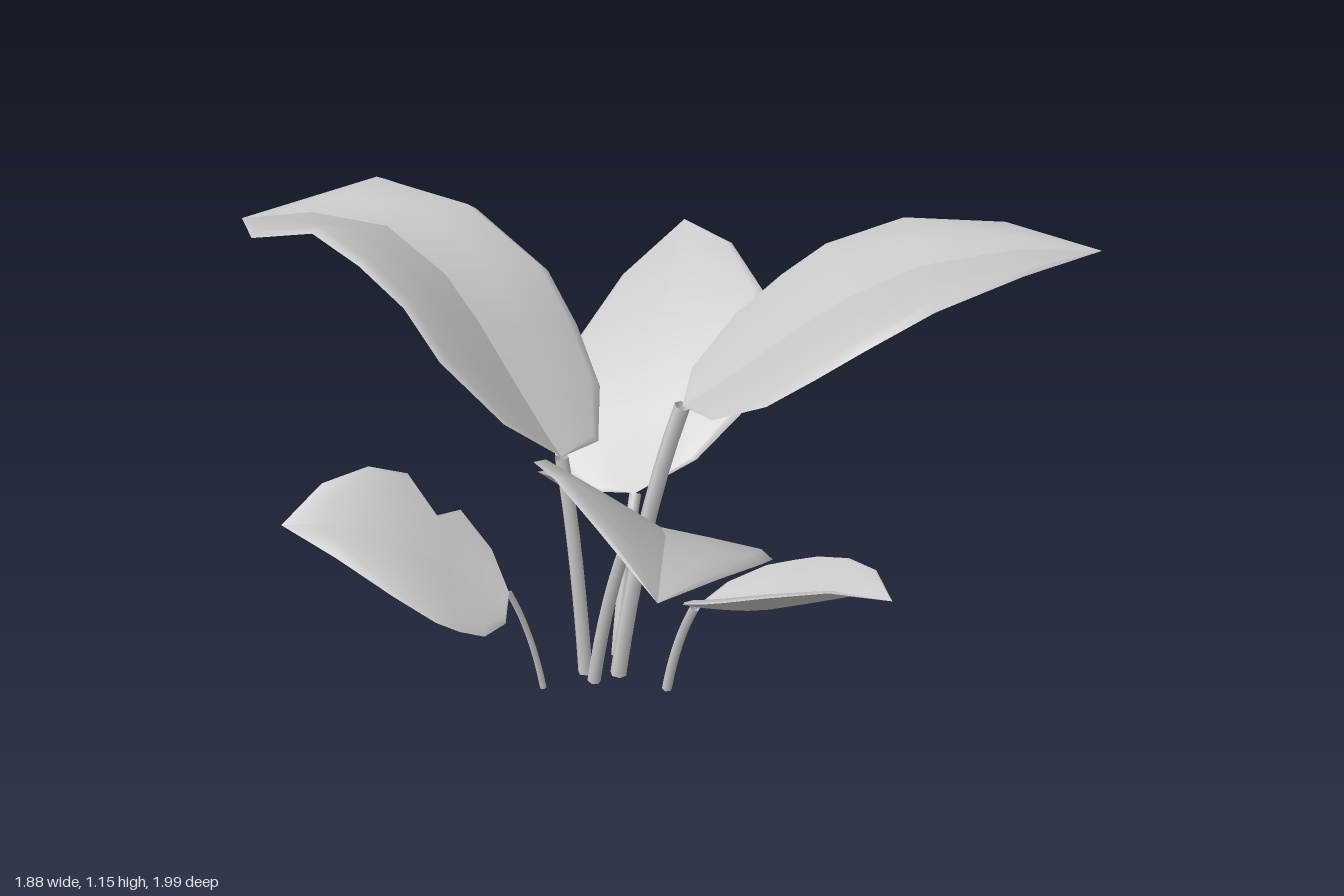
import * as THREE from 'three';

const V = (p) => new THREE.Vector3(...p);
const material = new THREE.MeshStandardMaterial({ color: 0xcccccc, side: THREE.DoubleSide });

// Half-width of every blade: [fraction along the midrib, fraction of full width]
const outline = [[0, 0], [0.05, 0.5], [0.17, 0.85], [0.29, 0.96], [0.4, 1], [0.58, 0.87], [0.8, 0.5], [1, 0]];
const notchRow = 3;
const shoulderRow = 6;
const arch = 0.1;

// Cross-section from midrib to edge: [fraction across, lift relative to width]
const section = [[0, 0], [0.45, 0.04], [0.9, 0.07], [1, 0]];

// Half a blade: swept along the midrib, reaching out by the side vector;
// turn raises the edge towards the tip, shoulder widens the blade before the tip
function halfBlade(rib, side, { notch, turn, shoulder, isLeft }) {
  const positions = [];
  const index = [];
  const cols = section.length;
  outline.forEach(([t, w], i) => {
    const width = w * (i === notchRow ? notch : i === shoulderRow ? shoulder : 1);
    const reach = side.clone();
    reach.y += turn * t * t;
    reach.multiplyScalar(width);
    const root = rib.getPoint(t);
    root.y += arch * t * t * w;
    for (const [across, lift] of section) {
      const p = root.clone().addScaledVector(reach, across);
      positions.push(p.x, p.y + lift * reach.length(), p.z);
    }
    if (i === 0) return;
    for (let j = 0; j < cols - 1; j++) {
      const a = (i - 1) * cols + j, b = a + 1, c = a + cols, d = c + 1;
      if (isLeft) index.push(a, c, b, b, c, d);
      else index.push(a, b, c, b, d, c);
    }
  });
  const geometry = new THREE.BufferGeometry();
  geometry.setAttribute('position', new THREE.Float32BufferAttribute(positions, 3));
  geometry.setIndex(index);
  geometry.computeVertexNormals();
  return geometry;
}

// Stem from foot to blade base, midrib through base, mid and tip, side vectors to the widest points
function makeLeaf(name, {
  foot, base, mid, tip, left, right, radius, notchLeft = 1, notchRight = 1, turn = 0, shoulder = 1,
}) {
  const leaf = new THREE.Group();
  leaf.name = name;
  const add = (partName, geometry) => {
    const mesh = new THREE.Mesh(geometry, material);
    mesh.name = partName;
    leaf.add(mesh);
  };

  // Stem rises steeply, then leans out to the blade
  const bend = V(foot).lerp(V(base), 0.35);
  bend.y = THREE.MathUtils.lerp(foot[1], base[1], 0.58);
  const path = new THREE.QuadraticBezierCurve3(V(foot), bend, V(base));
  add('stem', new THREE.TubeGeometry(path, 8, radius, 6));

  // Two blade halves meeting in a crease along the midrib
  const rib = new THREE.CatmullRomCurve3([base, mid, tip].map(V));
  add('leftBladeHalf', halfBlade(rib, V(left), { notch: notchLeft, turn: -turn, shoulder, isLeft: true }));
  add('rightBladeHalf', halfBlade(rib, V(right), { notch: notchRight, turn, shoulder, isLeft: false }));
  return leaf;
}

export function createModel() {
  const plant = new THREE.Group();
  plant.name = 'leafyPlant';

  plant.add(makeLeaf('tallLeaf', {
    foot: [-0.16, 0.02, -0.11], base: [-0.02, 0.75, -0.065], mid: [0.45, 1.03, -0.03], tip: [0.94, 1.1, 0.035],
    left: [0.02, -0.05, -0.31], right: [-0.03, 0.06, 0.33], radius: 0.019,
  }));
  plant.add(makeLeaf('frontLeaf', {
    foot: [-0.22, 0.02, -0.095], base: [-0.155, 0.51, 0.04], mid: [-0.19, 0.77, 0.52], tip: [-0.31, 0.9, 0.99],
    left: [0.25, -0.09, 0.05], right: [-0.29, 0.19, -0.04], radius: 0.016, notchRight: 0.7,
  }));
  plant.add(makeLeaf('backRightLeaf', {
    foot: [-0.225, 0, -0.165], base: [-0.275, 0.57, -0.19], mid: [-0.53, 0.9, -0.62], tip: [-0.855, 0.825, -0.955],
    left: [-0.23, 0.17, 0.13], right: [0.26, -0.12, -0.09], radius: 0.017, notchLeft: 0.9, turn: 0.25, shoulder: 1.4,
  }));
  plant.add(makeLeaf('backLeaf', {
    foot: [-0.145, 0.02, -0.19], base: [-0.075, 0.37, -0.315], mid: [0.04, 0.53, -0.62], tip: [0.19, 0.655, -1],
    left: [-0.22, -0.07, -0.06], right: [0.27, 0.09, 0.03], radius: 0.014,
  }));
  plant.add(makeLeaf('smallRightLeaf', {
    foot: [-0.34, 0.02, -0.09], base: [-0.425, 0.3, -0.065], mid: [-0.68, 0.43, -0.09], tip: [-0.94, 0.5, -0.15],
    left: [0, -0.09, 0.16], right: [0, 0.13, -0.14], radius: 0.008, notchRight: 0.65,
  }));
  plant.add(makeLeaf('smallFrontLeaf', {
    foot: [-0.065, 0.02, -0.025], base: [-0.02, 0.29, 0.07], mid: [0.15, 0.365, 0.27], tip: [0.345, 0.525, 0.51],
    left: [0.15, 0.05, -0.12], right: [-0.13, 0.115, 0.13], radius: 0.012,
  }));
  return plant;
}
